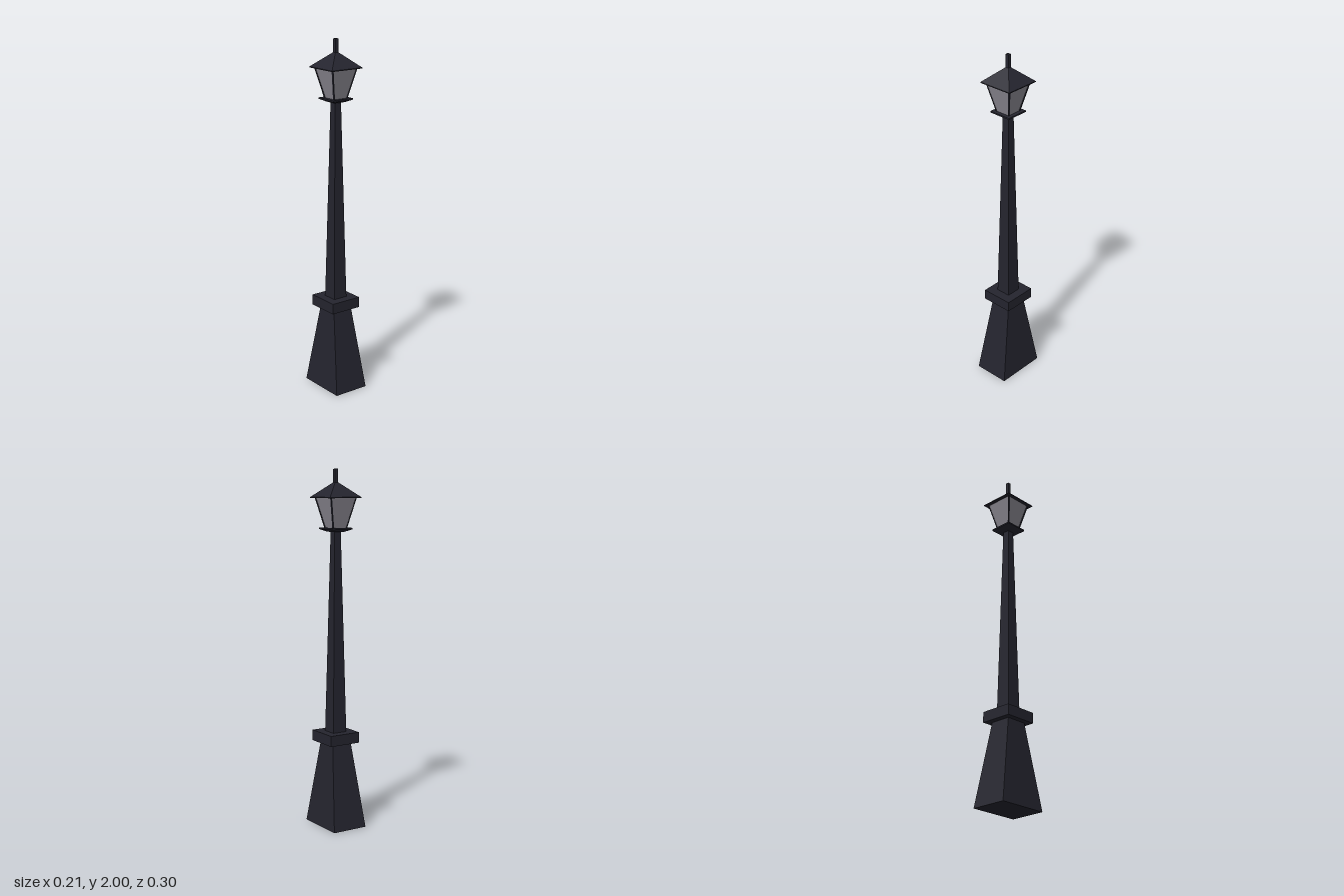
import * as THREE from 'three';

const iron = new THREE.MeshStandardMaterial({ color: 0x24242e });
iron.name = 'dark iron';
const glass = new THREE.MeshStandardMaterial({ color: 0x8c8a93 });
glass.name = 'grey glass';

// Four-sided block whose rectangles at y0 and y1 have the given half sizes and centres
function block(name, material, y0, y1, [ax, az], [bx, bz], c0 = [0, 0], c1 = [0, 0]) {
  const geo = new THREE.BoxGeometry(2, 2, 2);
  const p = geo.attributes.position;
  for (let i = 0; i < p.count; i++) {
    const top = p.getY(i) > 0;
    const [hx, hz] = top ? [bx, bz] : [ax, az];
    const [cx, cz] = top ? c1 : c0;
    p.setXYZ(i, cx + p.getX(i) * hx, top ? y1 : y0, cz + p.getZ(i) * hz);
  }
  geo.computeVertexNormals();
  const mesh = new THREE.Mesh(geo, material);
  mesh.name = name;
  return mesh;
}

export function createModel() {
  const model = new THREE.Group();
  model.name = 'streetLamp';

  // Post
  model.add(
    block('base', iron, 0, 0.48, [0.105, 0.148], [0.06, 0.062]),
    block('collar', iron, 0.48, 0.54, [0.093, 0.097], [0.093, 0.097]),
    block('pole', iron, 0.54, 1.665, [0.043, 0.043], [0.02, 0.02])
  );

  // Lantern
  const lantern = new THREE.Group();
  lantern.name = 'lantern';
  lantern.add(
    block('lanternSeat', iron, 1.66, 1.674, [0.035, 0.035], [0.066, 0.066]),
    block('lanternPlate', iron, 1.674, 1.682, [0.066, 0.066], [0.066, 0.066]),
    block('lanternGlass', glass, 1.682, 1.845, [0.043, 0.043], [0.081, 0.081]),
    block('roofEave', iron, 1.843, 1.848, [0.101, 0.101], [0.101, 0.101]),
    block('roof', iron, 1.848, 1.927, [0.101, 0.101], [0.01, 0.01]),
    block('finial', iron, 1.92, 2, [0.01, 0.01], [0.01, 0.01])
  );

  // Leaning corner bars around the glass
  const hx = 0.003, hz = 0.005;
  for (const sx of [-1, 1]) {
    for (const sz of [-1, 1]) {
      lantern.add(block('cornerBar', iron, 1.68, 1.845, [hx, hz], [hx, hz],
        [sx * (0.045 - hx), sz * (0.045 - hz)], [sx * (0.083 - hx), sz * (0.083 - hz)]));
    }
  }
  model.add(lantern);
  return model;
}
